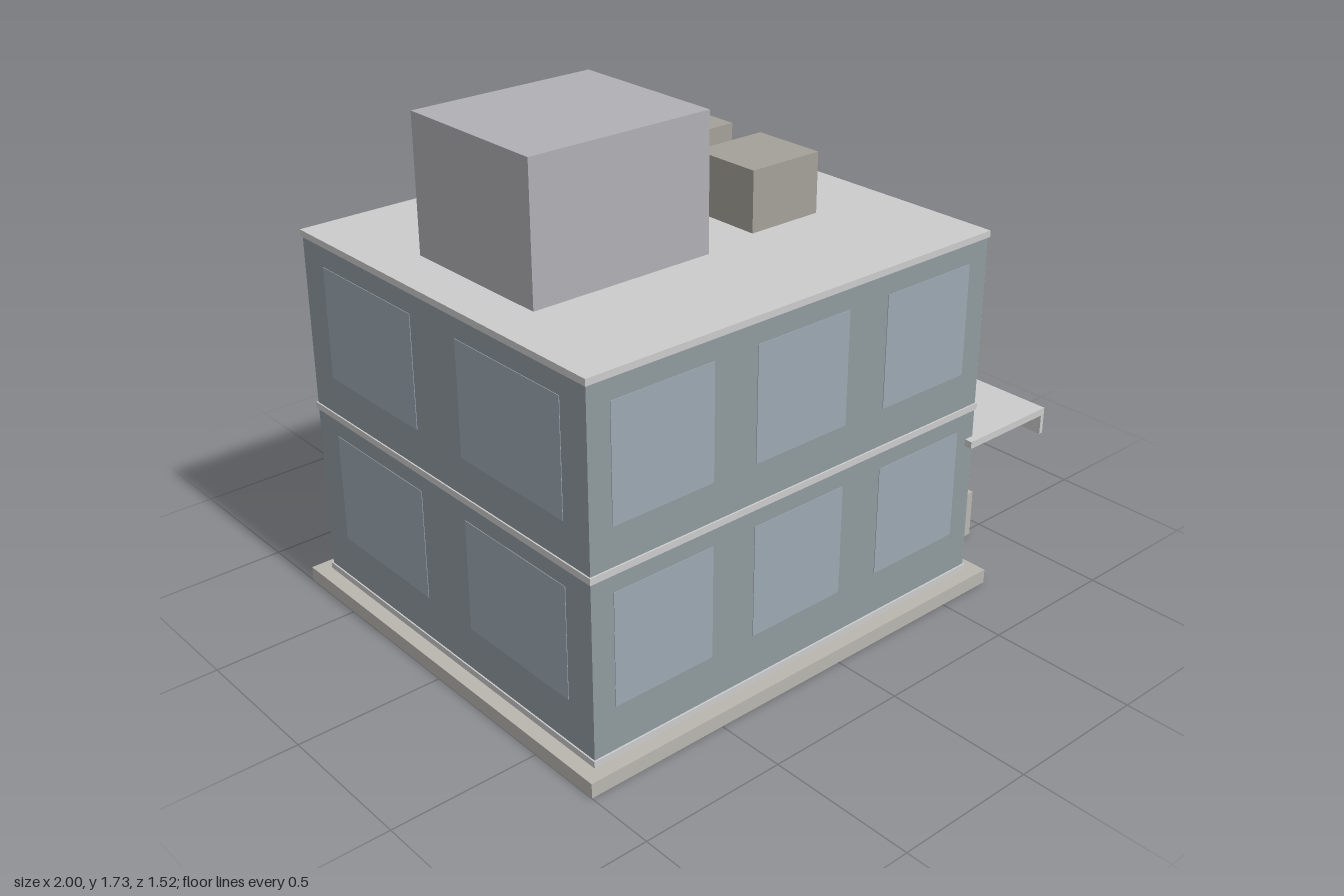
import * as THREE from 'three';

const mat = (color) => new THREE.MeshStandardMaterial({ color, flatShading: true });

export function createModel() {
  const root = new THREE.Group();
  const concrete = mat(0xb9b6b0), trim = mat(0xc4c4c2), wall = mat(0x8f9a9e), glass = mat(0x9ba8b3);
  const plant = mat(0xaaa89f), unit = mat(0xa3a198), tower = mat(0xb0b0b5), wood = mat(0x96765a), steel = mat(0x4f6a90);

  // Box given by its lower and upper bounds
  const box = (name, material, [x0, x1], [y0, y1], [z0, z1], parent = root) => {
    const mesh = new THREE.Mesh(new THREE.BoxGeometry(x1 - x0, y1 - y0, z1 - z0), material);
    mesh.position.set((x0 + x1) / 2, (y0 + y1) / 2, (z0 + z1) / 2);
    mesh.name = name;
    parent.add(mesh);
    return mesh;
  };
  const group = (name) => {
    const g = new THREE.Group();
    g.name = name;
    root.add(g);
    return g;
  };

  // Plinth, walls and floor slabs
  const cx = -0.145;
  box('plinth', concrete, [-1, 0.71], [0, 0.05], [-0.762, 0.762]);
  box('walls', wall, [-0.945, 0.655], [0.05, 1.27], [-0.708, 0.708]);
  const slabs = group('floorSlabs');
  for (const y of [0.05, 0.66, 1.26]) {
    box('slab', trim, [-0.95, 0.66], [y, y + 0.022], [-0.714, 0.714], slabs);
  }

  // Windows on the front, back and closed end, one full glazed end
  const windows = group('windows');
  for (const y of [0.22, 0.81]) {
    for (const x of [cx - 0.535, cx, cx + 0.535]) {
      for (const z of [-0.708, 0.708]) {
        box('window', glass, [x - 0.185, x + 0.185], [y, y + 0.38], [z - 0.002, z + 0.002], windows);
      }
    }
    for (const z of [-0.355, 0.355]) {
      box('endWindow', glass, [-0.947, -0.943], [y, y + 0.38], [z - 0.24, z + 0.24], windows);
    }
  }
  box('glazedEnd', glass, [0.653, 0.657], [0.06, 1.265], [-0.707, 0.707], windows);

  // Entrance canopy with a front lip, and the bar behind it
  const canopy = group('canopy');
  box('canopyRoof', trim, [0.62, 1], [0.535, 0.56], [-0.735, 0.735], canopy);
  box('canopyLip', trim, [0.985, 1], [0.465, 0.556], [-0.735, 0.735], canopy);
  box('canopyBar', trim, [0.655, 0.69], [0.455, 0.567], [-0.605, 0.605], canopy);

  // Row of planters
  const planters = group('planters');
  for (const z of [-0.38, 0, 0.38]) {
    box('planter', concrete, [0.695, 0.922], [0, 0.172], [z - 0.141, z + 0.141], planters);
    const shrub = new THREE.Mesh(new THREE.CylinderGeometry(0.075, 0.075, 0.05, 8), plant);
    shrub.position.set(0.809, 0.186, z);
    shrub.name = 'shrub';
    planters.add(shrub);
  }

  // Rooftop stair house and air units
  box('stairHouse', tower, [-0.79, -0.132], [1.28, 1.733], [-0.282, 0.282]);
  box('airUnit', unit, [0.085, 0.365], [1.28, 1.487], [-0.417, -0.153]);
  box('airUnit', unit, [0.085, 0.365], [1.28, 1.487], [-0.02, 0.244]);

  // Roof bench
  const bench = group('bench');
  box('benchSeat', wood, [cx - 0.19, cx + 0.19], [1.34, 1.357], [-0.06, 0.055], bench);
  box('benchBack', wood, [cx - 0.19, cx + 0.19], [1.372, 1.475], [0.04, 0.055], bench);
  for (const s of [-1, 1]) {
    const x = cx + s * 0.133;
    box('benchLeg', steel, [x - 0.012, x + 0.012], [1.28, 1.342], [-0.05, 0.045], bench);
  }
  return root;
}
